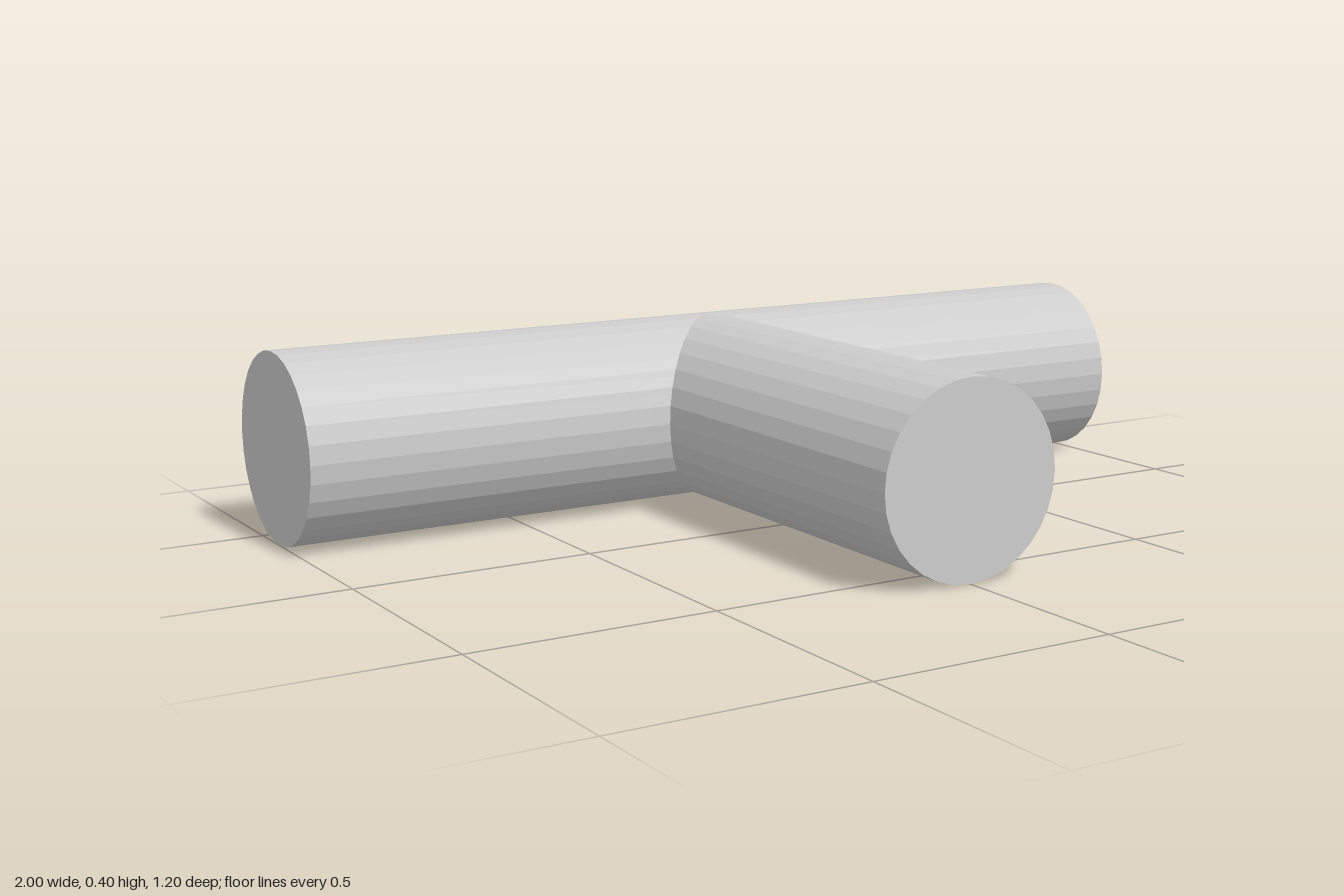
import * as THREE from 'three';

const RADIUS = 0.2;
const SIDES = 32;
const AXIS_Z = -0.4; // depth of the crossbar axis
const FRONT_Z = 0.6; // front end of the branch

export function createModel() {
  const group = new THREE.Group();
  group.name = 'teeJunction';
  const material = new THREE.MeshStandardMaterial({ color: 0xcccccc, flatShading: true });

  function addPart(name, geometry) {
    const mesh = new THREE.Mesh(geometry, material);
    mesh.name = name;
    group.add(mesh);
  }

  // Crossbar: full-width cylinder along x
  const bar = new THREE.CylinderGeometry(RADIUS, RADIUS, 2, SIDES);
  bar.rotateZ(Math.PI / 2).translate(0, RADIUS, AXIS_Z);
  addPart('crossbar', bar);

  // Branch: cylinder along z, its rear end mitred to meet the crossbar surface
  const length = FRONT_Z - AXIS_Z;
  const branch = new THREE.CylinderGeometry(RADIUS, RADIUS, length, SIDES);
  branch.rotateX(Math.PI / 2).translate(0, RADIUS, AXIS_Z + length / 2);
  const pos = branch.attributes.position;
  for (let i = 0; i < pos.count; i++) {
    if (pos.getZ(i) < 0) pos.setZ(i, AXIS_Z + Math.abs(pos.getX(i)));
  }
  branch.computeVertexNormals();
  addPart('branch', branch);

  return group;
}
